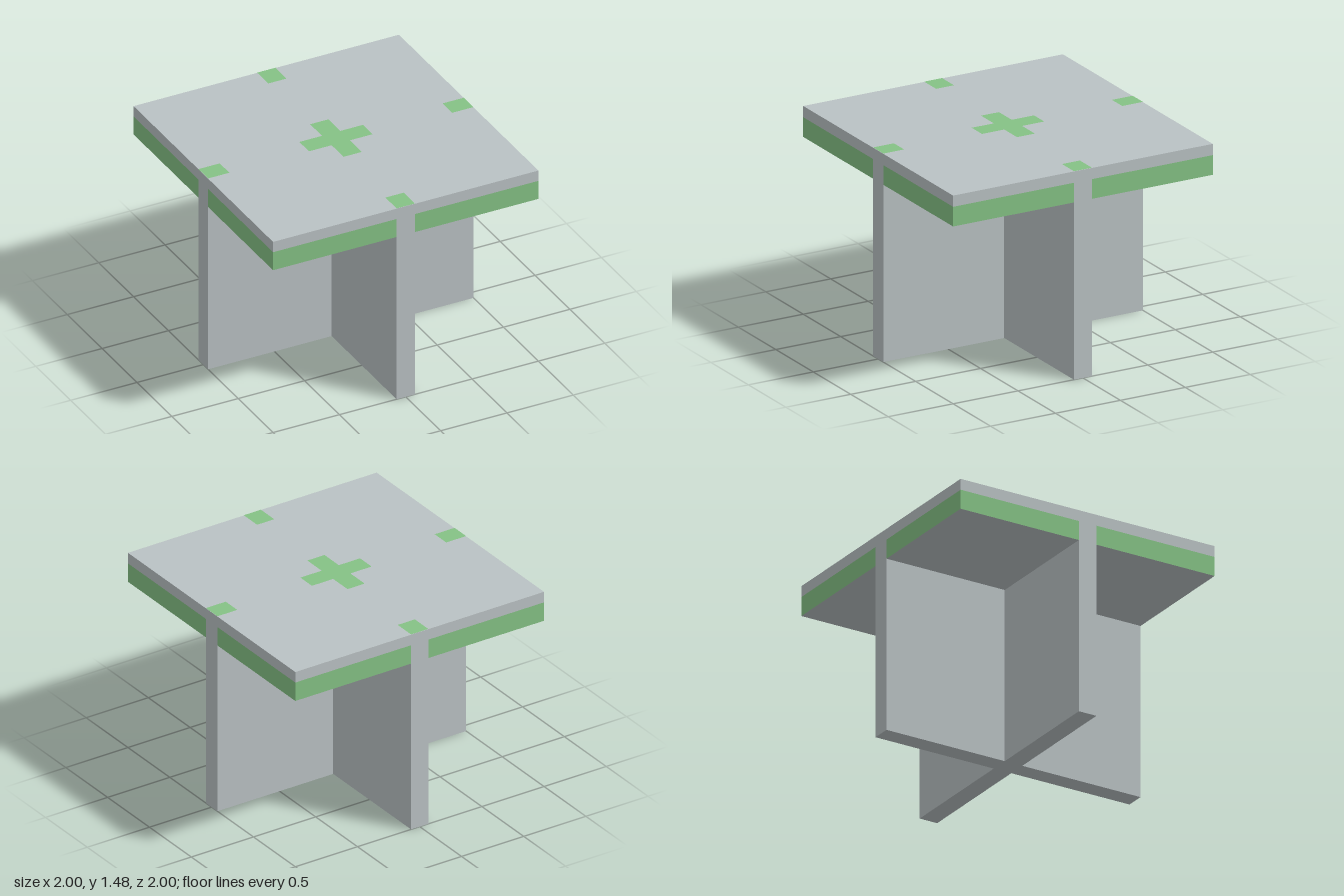
import * as THREE from 'three';

const HEIGHT = 1.48, BAND_TOP = 1.4, TOP_BOTTOM = 1.26;
const HALF = 1, T = 0.069;          // half width of the table, half thickness of a board
const LAP = 0.63;                   // height where the two boards interlock

export function createModel() {
  const grey = new THREE.MeshStandardMaterial({ name: 'grey board', color: 0xbac2c4 });
  const green = new THREE.MeshStandardMaterial({ name: 'green edge', color: 0x85c285 });
  const group = new THREE.Group();
  group.name = 'table';

  const add = (name, geometry, material, x = 0, y = 0, z = 0) => {
    const mesh = new THREE.Mesh(geometry, material);
    mesh.name = name;
    mesh.position.set(x, y, z);
    group.add(mesh);
    return mesh;
  };

  // Upright board with a half-lap slot, cut from below or from above
  const board = (slotBelow) => {
    const low = [[-HALF, 0], [-T, 0], [-T, LAP], [T, LAP], [T, 0], [HALF, 0], [HALF, HEIGHT], [-HALF, HEIGHT]];
    const high = [[-HALF, 0], [HALF, 0], [HALF, HEIGHT], [T, HEIGHT], [T, LAP], [-T, LAP], [-T, HEIGHT], [-HALF, HEIGHT]];
    const shape = new THREE.Shape((slotBelow ? low : high).map(([x, y]) => new THREE.Vector2(x, y)));
    return new THREE.ExtrudeGeometry(shape, { depth: 2 * T, bevelEnabled: false }).translate(0, 0, -T);
  };
  add('crossBoardX', board(true), grey);
  add('crossBoardZ', board(false), grey).rotation.y = Math.PI / 2;

  // Table top: four quarters fitted between the boards, green band with grey underside
  const w = HALF - T, c = (HALF + T) / 2;
  const slab = (y0, y1) => new THREE.BoxGeometry(w, y1 - y0, w).translate(0, (y0 + y1) / 2, 0);
  const bandMaterials = [green, green, grey, grey, green, green];
  for (const sx of [-1, 1]) {
    for (const sz of [-1, 1]) {
      add('topQuarter', slab(BAND_TOP, HEIGHT), grey, sx * c, 0, sz * c);
      add('topQuarterBand', slab(TOP_BOTTOM, BAND_TOP), bandMaterials, sx * c, 0, sz * c);
    }
  }

  // Green tabs showing on the top surface
  const tab = (x0, x1, z0, z1) => add(
    'topTab', new THREE.PlaneGeometry(x1 - x0, z1 - z0).rotateX(-Math.PI / 2), green,
    (x0 + x1) / 2, HEIGHT + 0.002, (z0 + z1) / 2);
  tab(-0.24, 0.24, -T, T);
  for (const [a, b] of [[-HALF, -0.84], [0.84, HALF]]) {
    tab(a, b, -T, T);
    tab(-T, T, a, b);
  }
  tab(-T, T, -0.24, -T);
  tab(-T, T, T, 0.24);

  return group;
}
